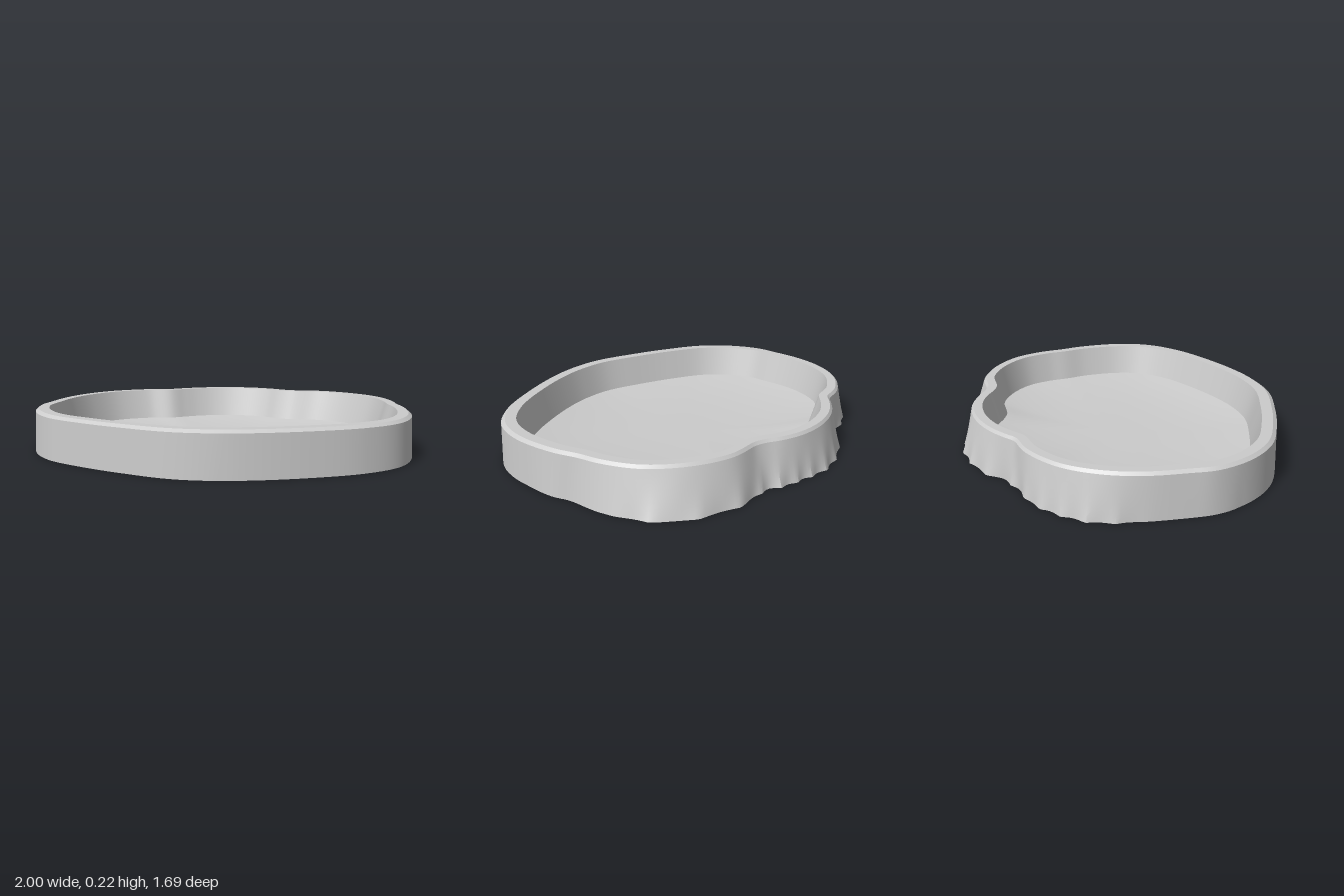
import * as THREE from 'three';
import { toCreasedNormals } from 'three/addons/utils/BufferGeometryUtils.js';

const N = 288;
const material = new THREE.MeshStandardMaterial({ color: 0xcccccc, side: THREE.DoubleSide });

// Inner edge of the rim, as x, z pairs starting at the back
const RIM = [0.02, -0.73, 0.15, -0.71, 0.25, -0.665, 0.32, -0.615, 0.39, -0.583, 0.56, -0.56, 0.72, -0.465,
  0.84, -0.32, 0.885, -0.16, 0.89, -0.04, 0.905, 0.1, 0.88, 0.32, 0.80, 0.48, 0.64, 0.60, 0.40, 0.69,
  0.16, 0.745, 0, 0.757, -0.18, 0.735, -0.4, 0.64, -0.6, 0.53, -0.78, 0.40, -0.88, 0.25, -0.92, 0.09,
  -0.905, -0.02, -0.87, -0.2, -0.8, -0.36, -0.68, -0.5, -0.5, -0.59, -0.35, -0.61, -0.28, -0.65, -0.2, -0.69, -0.1, -0.72];

// Foot of the outer wall, which flares at the back
const BASE = [0.05, -0.84, 0.24, -0.785, 0.33, -0.75, 0.41, -0.70, 0.6, -0.68, 0.72, -0.63, 0.89, -0.51,
  0.955, -0.39, 0.995, -0.2, 0.982, 0, 0.995, 0.08, 0.97, 0.27, 0.91, 0.44, 0.81, 0.55, 0.645, 0.655,
  0.43, 0.74, 0.19, 0.815, 0, 0.843, -0.21, 0.815, -0.48, 0.685, -0.72, 0.525, -0.885, 0.375, -0.98, 0.2, -1, 0.08,
  -0.985, -0.05, -0.945, -0.25, -0.882, -0.44, -0.765, -0.565, -0.62, -0.65, -0.45, -0.68, -0.35, -0.71, -0.22, -0.795, -0.05, -0.835];

const closedCurve = (flat) => {
  const pts = [];
  for (let i = 0; i < flat.length; i += 2) pts.push(new THREE.Vector3(flat[i], 0, flat[i + 1]));
  return new THREE.CatmullRomCurve3(pts, true);
};

// Radii of a curve at N even angles, after offsetting it outwards by offset(point)
function radii(curve, offset) {
  const samples = [];
  for (let i = 0; i < 1500; i++) {
    const p = curve.getPoint(i / 1500), t = curve.getTangent(i / 1500), d = offset(p);
    const x = p.x + t.z * d, z = p.z - t.x * d;
    samples.push([Math.atan2(z, x), Math.hypot(x, z)]);
  }
  return Array.from({ length: N }, (_, j) => {
    const a = (j / N) * Math.PI * 2;
    let sum = 0, total = 0;
    for (const [b, r] of samples) {
      const d = Math.atan2(Math.sin(a - b), Math.cos(a - b));
      if (Math.abs(d) > 0.05) continue;
      const w = Math.exp(-((d / 0.015) ** 2));
      sum += w * r;
      total += w;
    }
    return sum / total;
  });
}

// Surface through closed loops, ordered so that its front faces outwards or up
function loft(name, loops) {
  const pos = [], index = [];
  loops.forEach(({ r, y }) => {
    for (let j = 0; j < N; j++) {
      const a = (j / N) * Math.PI * 2;
      pos.push(r[j] * Math.cos(a), y, r[j] * Math.sin(a));
    }
  });
  for (let i = 0; i < loops.length - 1; i++) {
    for (let j = 0; j < N; j++) {
      const k = (j + 1) % N, a = i * N + j, b = i * N + k;
      index.push(a, a + N, b, b, a + N, b + N);
    }
  }
  const geo = new THREE.BufferGeometry();
  geo.setAttribute('position', new THREE.Float32BufferAttribute(pos, 3));
  geo.setIndex(index);
  const mesh = new THREE.Mesh(toCreasedNormals(geo, 0.4), material);
  mesh.name = name;
  return mesh;
}

export function createModel() {
  const group = new THREE.Group();
  group.name = 'tray';
  const rimCurve = closedCurve(RIM);
  const rimWidth = (p) => 0.051 + 0.008 * p.z;
  const inner = radii(rimCurve, () => 0);
  const outer = radii(rimCurve, rimWidth);
  const shoulder = radii(rimCurve, (p) => rimWidth(p) + 0.016 + 0.006 * p.z);
  const floorEdge = radii(rimCurve, () => -0.048);
  const foot = radii(closedCurve(BASE), () => 0).map((r, j) => Math.max(r, shoulder[j] + 0.007));

  // Outer wall, with small irregular teeth along the foot at the back
  const wall = [];
  for (let i = 0; i <= 8; i++) {
    const t = i / 8;
    wall.push({
      y: 0.21 * t,
      r: foot.map((f, j) => {
        const a = (j / N) * Math.PI * 2;
        const back = THREE.MathUtils.smoothstep(-Math.sin(a), 0.15, 0.5);
        const tooth = Math.abs(Math.sin(a * 20 + 1.2 * Math.sin(a * 5))) - 0.6;
        return THREE.MathUtils.lerp(f, shoulder[j], t) - 0.018 * back * tooth * (1 - t) ** 3;
      }),
    });
  }
  group.add(loft('outerWall', wall));

  // Bevelled rim
  group.add(loft('rim', [{ r: shoulder, y: 0.21 }, { r: outer, y: 0.224 }, { r: inner, y: 0.224 }]));

  // Sloping inner wall
  group.add(loft('innerWall', [{ r: inner, y: 0.224 }, { r: floorEdge, y: 0.057 }]));

  // Dished floor, open underneath
  const floor = [];
  for (let i = 0; i <= 14; i++) {
    const s = Math.max(1 - i / 14, 0.0005);
    floor.push({ r: floorEdge.map((r) => r * s), y: 0.012 + 0.045 * s ** 3 });
  }
  group.add(loft('floor', floor));
  return group;
}
